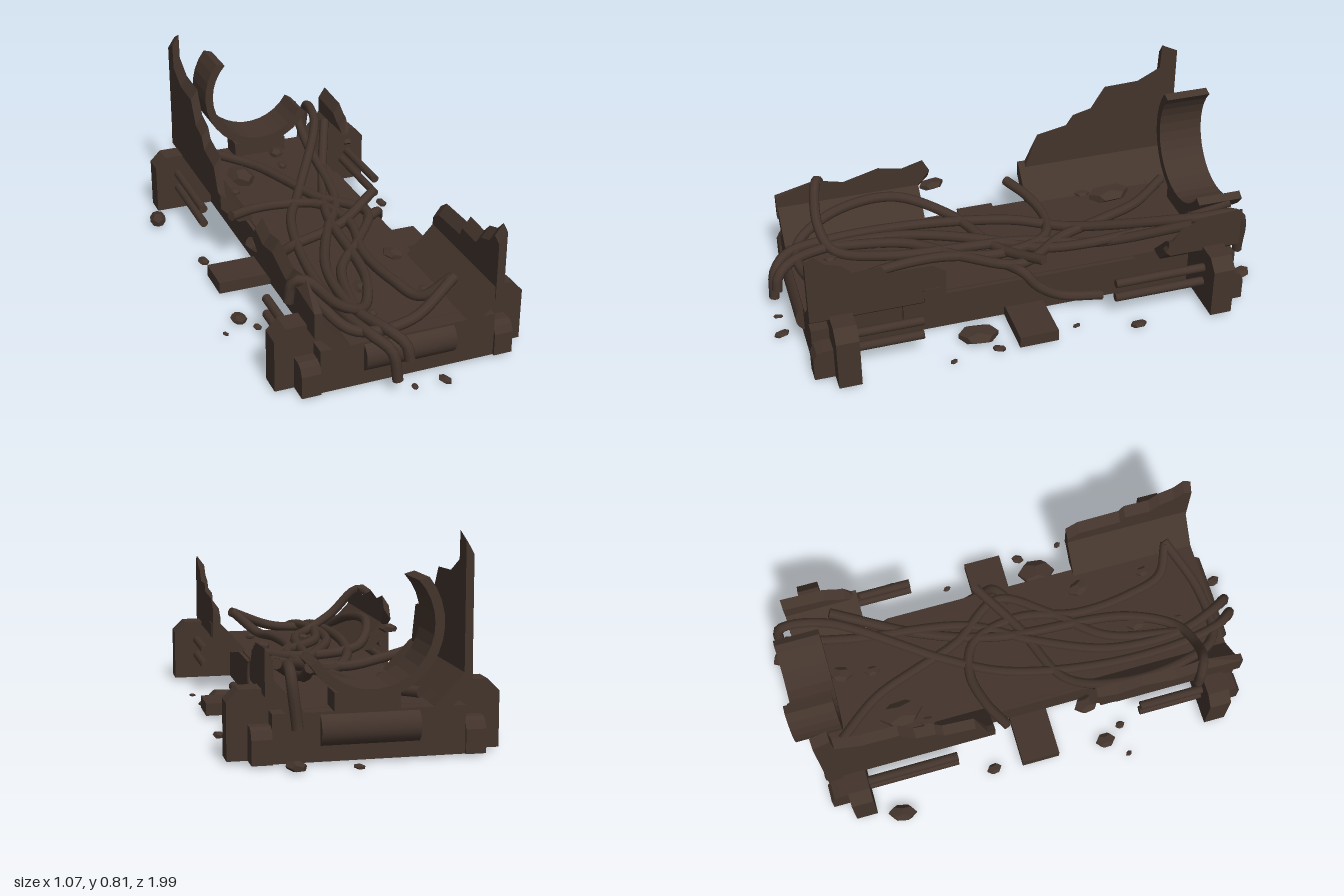
import * as THREE from 'three';

const CX = 0.03; // centre line of the chassis
const brown = new THREE.MeshStandardMaterial({ color: 0x43342c, side: THREE.DoubleSide });
brown.name = 'dark rusty brown';

export function createModel() {
  const root = new THREE.Group();
  root.name = 'wreckedTrough';

  const add = (name, geo, x = 0, y = 0, z = 0) => {
    const m = new THREE.Mesh(geo, brown);
    m.name = name;
    m.position.set(x, y, z);
    root.add(m);
    return m;
  };
  // Box given by its limits
  const box = (name, x0, x1, y0, y1, z0, z1) => add(name,
    new THREE.BoxGeometry(Math.abs(x1 - x0), y1 - y0, z1 - z0), (x0 + x1) / 2, (y0 + y1) / 2, (z0 + z1) / 2);
  const shapeOf = pts => new THREE.Shape(pts.map(p => new THREE.Vector2(p[0], p[1])));
  // Cross-section in x, y pushed from z0 to z1
  const prism = (name, pts, z0, z1) => add(name,
    new THREE.ExtrudeGeometry(shapeOf(pts), { depth: z1 - z0, bevelEnabled: false }), 0, 0, z0);
  // Upright plate: outline in z, y; a torn top edge slants across the thickness
  const plate = (name, pts, x0, x1) => {
    const g = new THREE.ExtrudeGeometry(shapeOf(pts.map(([z, y]) => [-z, y])), { depth: x1 - x0, bevelEnabled: false });
    g.rotateY(Math.PI / 2);
    const p = g.attributes.position;
    for (let i = 0; i < p.count; i++) {
      if (p.getY(i) > 0.36 && p.getX(i) < 0.01) p.setY(i, p.getY(i) - 0.045);
    }
    g.computeVertexNormals();
    return add(name, g, x0, 0, 0);
  };

  // Hollow chassis: deck, sills and end blocks
  box('deck', CX - 0.25, CX + 0.25, 0.175, 0.19, -0.82, 0.82);
  for (const s of [-1, 1]) {
    const u = d => CX + s * d;
    box('sill', u(0.215), u(0.25), 0.01, 0.188, -0.76, 0.76);
    plate('sillPanel', [[-0.5, 0.06], [0.5, 0.06], [0.5, 0.16], [0.47, 0.185], [-0.47, 0.185], [-0.5, 0.16]],
      u(0.255) - 0.012, u(0.255) + 0.012);
    box('sidePad', u(0.24), u(0.47), 0.01, 0.06, -0.08, 0.08);
    box('endBlock', CX - 0.35, CX + 0.35, 0.01, 0.188, s > 0 ? 0.74 : -0.88, s > 0 ? 0.88 : -0.74);

    // Roll across each end
    const roll = add('endRoll', new THREE.CylinderGeometry(0.065, 0.065, 0.36, 20), CX, 0.123, s * 0.848);
    roll.rotation.z = Math.PI / 2;

    for (const e of [-1, 1]) {
      // Chamfered outrigger and small rounded foot at each corner
      const legPts = [[0.2, 0.01], [0.5, 0.01], [0.5, 0.22], [0.455, 0.265], [0.31, 0.265], [0.23, 0.188]];
      prism('outrigger', legPts.map(([d, y]) => [u(d), y]), e * 0.765 - 0.045, e * 0.765 + 0.045);
      const footPts = [[0.74, 0.01], [0.89, 0.01], [0.89, 0.1], [0.875, 0.13], [0.85, 0.14], [0.74, 0.14]];
      plate('foot', footPts.map(([z, y]) => [e * z, y]), u(0.3875) - 0.0375, u(0.3875) + 0.0375);
      // Pair of side rods, longer toward the back
      const len = e > 0 ? 0.27 : 0.38;
      for (const y of [0.113, 0.181]) {
        const rod = add('sideRod', new THREE.CylinderGeometry(0.018, 0.018, len, 10), u(0.4), y, e * (0.72 - len / 2));
        rod.rotation.x = Math.PI / 2;
      }
    }
  }

  // Sloped trough sides that remain at the four corners
  for (const [s, z0, z1] of [[-1, -0.88, -0.17], [-1, 0.28, 0.88], [1, 0.35, 0.88], [1, -0.88, -0.57]]) {
    const pts = [[0.23, 0.185], [0.345, 0.305], [0.375, 0.32], [0.375, 0.26], [0.3, 0.185]];
    prism('slopedSide', pts.map(([d, y]) => [CX + s * d, y]), z0, z1);
  }
  // Torn upright walls
  plate('tallBackWall', [[-0.875, 0.27], [-0.18, 0.27], [-0.2, 0.31], [-0.25, 0.46], [-0.38, 0.485],
    [-0.41, 0.53], [-0.49, 0.55], [-0.55, 0.645], [-0.7, 0.65], [-0.8, 0.7],
    [-0.805, 0.805], [-0.875, 0.77]], -0.345, -0.315);
  plate('frontRightWall', [[0.885, 0.25], [0.885, 0.53], [0.85, 0.55], [0.81, 0.51], [0.75, 0.49], [0.71, 0.45],
    [0.6, 0.455], [0.58, 0.42], [0.4, 0.415], [0.35, 0.38], [0.35, 0.25]], 0.375, 0.408);
  plate('frontLeftWall', [[0.885, 0.25], [0.885, 0.35], [0.72, 0.41], [0.6, 0.38], [0.45, 0.42],
    [0.35, 0.4], [0.26, 0.425], [0.23, 0.37], [0.29, 0.29], [0.35, 0.25]], -0.345, -0.315);
  plate('backRightWall', [[-0.88, 0.25], [-0.88, 0.42], [-0.7, 0.41], [-0.65, 0.38], [-0.62, 0.37],
    [-0.56, 0.27], [-0.58, 0.25]], 0.375, 0.405);
  box('wallBox', 0.4, 0.412, 0.25, 0.31, 0.37, 0.44);

  // Broken ring at the back end
  const ring = [];
  for (const [r, from, to] of [[0.257, 141, 329], [0.222, 329, 137]]) {
    for (let i = 0; i <= 18; i++) {
      const a = THREE.MathUtils.degToRad(from + (to - from) * i / 18);
      ring.push([0.04 + r * Math.cos(a), 0.497 + r * Math.sin(a)]);
    }
  }
  prism('brokenRing', ring, -0.95, -0.76);
  box('ringSaddle', -0.08, 0.16, 0.18, 0.255, -0.88, -0.77);

  // Loose cable through x, z points; it lies on the trough unless a height is given
  const cable = (...pts) => {
    const rest = x => 0.213 + Math.max(0, Math.abs(x - CX) - 0.2) * 0.7;
    const curve = new THREE.CatmullRomCurve3(pts.map(([x, z, y = rest(x)]) => new THREE.Vector3(x, y, z)));
    add('cable', new THREE.TubeGeometry(curve, pts.length * 8, 0.021, 8));
    for (const t of [0, 1]) {
      const cap = add('cableEnd', new THREE.CircleGeometry(0.021, 8));
      cap.position.copy(curve.getPoint(t));
      cap.lookAt(cap.position.clone().addScaledVector(curve.getTangent(t), t ? 1 : -1));
    }
  };
  // Cable looping from the left side to the front right
  cable([-0.32, -0.11, 0.25], [-0.2, -0.17], [-0.05, -0.2], [0.08, -0.15], [0.14, 0.05], [0.09, 0.32],
    [0.11, 0.55], [0.16, 0.7], [0.26, 0.75, 0.3]);
  // Two cables running the whole length and hanging over the front
  cable([0.3, -0.93, 0.14], [0.32, -0.91, 0.33], [0.29, -0.72, 0.33], [0.04, -0.28], [-0.08, -0.05],
    [-0.16, 0.35], [-0.16, 0.7], [-0.12, 0.88, 0.21], [-0.07, 0.945, 0.17], [-0.05, 0.96, 0.05]);
  cable([0.25, -0.9, 0.35], [0.22, -0.65, 0.27], [0.16, -0.15], [0.02, 0.1], [-0.1, 0.4], [-0.11, 0.7],
    [-0.05, 0.88], [-0.01, 0.94, 0.18], [0, 0.95, 0.12]);
  // Cables crossing the deck
  cable([0.3, -0.08], [0.1, 0.05], [-0.18, 0.18], [-0.28, 0.4], [-0.26, 0.66], [-0.17, 0.83], [0.05, 0.84],
    [0.27, 0.75, 0.3]);
  cable([-0.18, -0.78], [-0.04, -0.6], [0.03, -0.42], [0.1, -0.22], [0.24, 0], [0.12, 0.2], [-0.04, 0.4], [-0.11, 0.7]);
  // Cable over the front left wall
  cable([-0.37, 0.69, 0.3], [-0.355, 0.7, 0.385], [-0.31, 0.72, 0.39], [-0.2, 0.74, 0.28], [-0.08, 0.7], [0.02, 0.5],
    [0.08, -0.05], [0.18, -0.35], [0.33, -0.7, 0.33]);
  // Cable drooping outside the right sill
  cable([0.22, 0.05], [0.29, 0, 0.21], [0.31, -0.05, 0.15], [0.31, -0.15, 0.08], [0.31, -0.33, 0.04]);

  // Faceted rubble with seeded proportions
  let seed = 7;
  const rnd = () => (seed = (seed * 16807) % 2147483647) / 2147483647;
  const scatter = (y, stones) => stones.forEach(([x, z, r]) => {
    const g = new THREE.DodecahedronGeometry(r, 0);
    g.scale(0.65 + 0.2 * rnd(), 0.32 + 0.15 * rnd(), 1.15);
    g.rotateY(rnd() - 0.5);
    g.computeVertexNormals();
    g.computeBoundingBox();
    add('rubble', g, x, y - g.boundingBox.min.y, z);
  });
  // On the ground
  scatter(0, [[-0.5, -0.62, 0.055], [0.5, -0.42, 0.032], [0.43, -0.18, 0.016], [-0.42, -0.2, 0.03],
    [0.39, 0.22, 0.075], [0.48, 0.16, 0.025], [0.5, 0.35, 0.016], [-0.43, 0.29, 0.04], [-0.38, 0.37, 0.02],
    [-0.51, 0.37, 0.014], [0.14, 0.965, 0.03], [0.02, 0.96, 0.018], [0.09, -0.965, 0.025], [0.31, -0.95, 0.045]]);
  // On the deck
  scatter(0.19, [[-0.14, -0.52, 0.085], [0.1, -0.72, 0.045], [-0.2, -0.42, 0.03], [0.2, 0.35, 0.045],
    [-0.05, 0.72, 0.025], [0.08, -0.59, 0.03], [0.2, 0.64, 0.03], [0.03, -0.42, 0.022], [-0.02, 0.54, 0.04]]);
  // On the torn left edge
  scatter(0.27, [[-0.33, 0.22, 0.05]]);
  return root;
}
